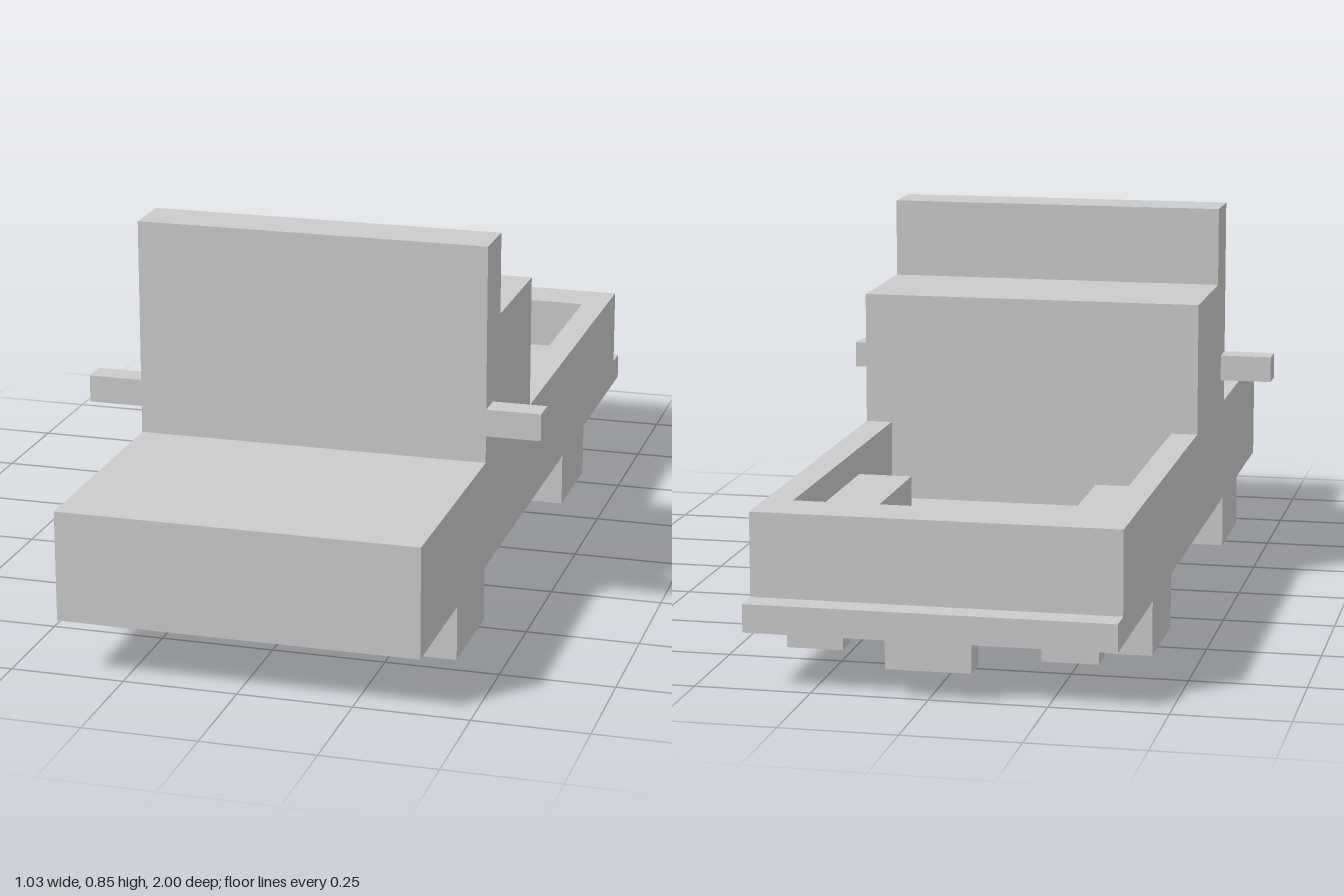
import * as THREE from 'three';

// The truck is laid out on a block grid: 33 blocks long.
const U = 2 / 33;
const material = new THREE.MeshStandardMaterial({ color: 0xcccccc, flatShading: true });

export function createModel() {
  const truck = new THREE.Group();
  truck.name = 'pickupTruck';

  const add = (name, geometry) => {
    const mesh = new THREE.Mesh(geometry, material);
    mesh.name = name;
    truck.add(mesh);
    return mesh;
  };

  // Box from its min and max corners, in blocks.
  const box = (name, [x0, x1], [y0, y1], [z0, z1]) => {
    const g = new THREE.BoxGeometry((x1 - x0) * U, (y1 - y0) * U, (z1 - z0) * U);
    g.translate((x0 + x1) / 2 * U, (y0 + y1) / 2 * U, (z0 + z1) / 2 * U);
    return add(name, g);
  };

  // The same box on both sides.
  const pair = (name, [x0, x1], y, z) => {
    box(name + 'Left', [x0, x1], y, z);
    box(name + 'Right', [-x1, -x0], y, z);
  };

  const points = (list) => list.map(([a, b]) => new THREE.Vector2(a * U, b * U));

  // Floor plate, also the bottom of the cargo bed
  box('floor', [-6.5, 6.5], [2, 3], [-15.5, 16.5]);

  // Hood and bed walls: a plan outline with the bed opening cut out
  const plan = new THREE.Shape(points([[-6.5, -16.5], [6.5, -16.5], [6.5, 15.5], [-6.5, 15.5]]));
  plan.holes.push(new THREE.Path(points([[-5.5, -0.5], [-5.5, 13.5], [5.5, 13.5], [5.5, -0.5]])));
  const walls = new THREE.ExtrudeGeometry(plan, { depth: 3 * U, bevelEnabled: false });
  walls.rotateX(-Math.PI / 2).translate(0, 3 * U, 0);
  add('bodyWalls', walls);

  // Cab with the taller front panel: a stepped side profile (-z, y)
  const side = new THREE.Shape(points([
    [-7.5, 6], [-0.5, 6], [-0.5, 11], [-5.5, 11], [-5.5, 14], [-7.5, 14],
  ]));
  const cab = new THREE.ExtrudeGeometry(side, { depth: 13 * U, bevelEnabled: false });
  cab.rotateY(Math.PI / 2).translate(-6.5 * U, 0, 0);
  add('cab', cab);

  // Wheel arches inside the bed
  pair('wheelArch', [3.5, 5.5], [3, 5], [-10.5, -4.5]);

  // Wheels
  pair('frontWheel', [4.5, 6.5], [0, 2], [7.5, 11.5]);
  pair('rearWheel', [4.5, 6.5], [0, 2], [-9.5, -5.5]);

  // Side mirrors
  pair('mirror', [6.5, 8.5], [7, 8], [6.5, 7.5]);

  // Rear bumper and the plate below it
  box('rearBumper', [-6.5, 6.5], [2, 3], [-16.5, -15.5]);
  box('rearPlate', [-1.5, 1.5], [1, 2], [-16.5, -15.5]);

  // Exhaust blocks under the tail
  pair('exhaustFront', [3.5, 5.5], [1, 2], [-12.5, -11.5]);
  pair('exhaustRear', [3.5, 5.5], [1, 2], [-14.5, -13.5]);

  return truck;
}
